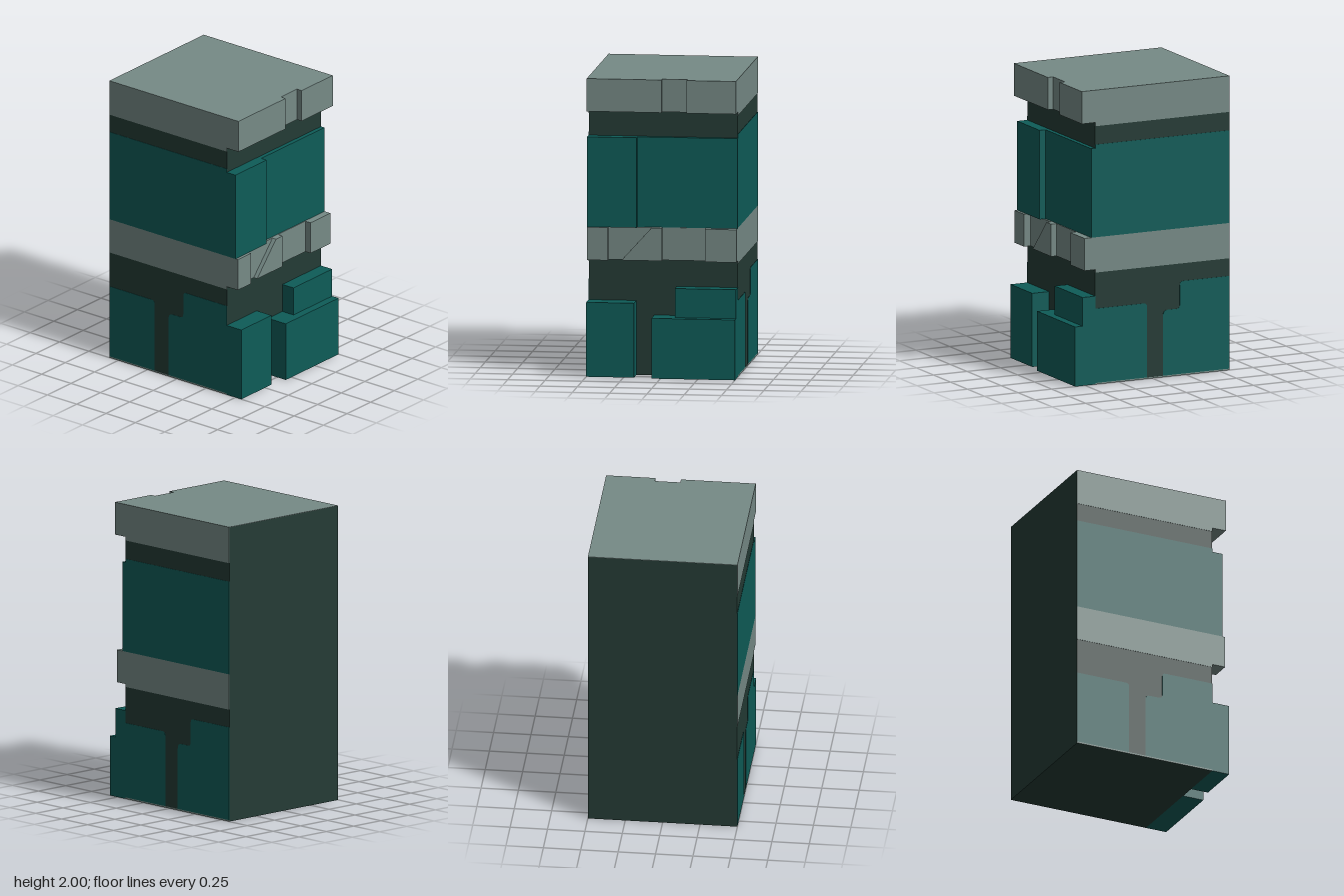
import * as THREE from 'three';

export function createModel() {
  const model = new THREE.Group();
  model.name = 'wallBlock';
  const mat = (name, color) => {
    const m = new THREE.MeshStandardMaterial({ color });
    m.name = name;
    return m;
  };
  const stone = mat('paleStone', 0x768a86);
  const teal = mat('tealStone', 0x0e5c58);
  const mortar = mat('darkMortar', 0x243b35);

  const add = (parent, name, geometry, material) => {
    const mesh = new THREE.Mesh(geometry, material);
    mesh.name = name;
    parent.add(mesh);
    return mesh;
  };
  // box from its minimum and maximum corners
  const box = (parent, name, material, x0, x1, y0, y1, z0, z1) =>
    add(parent, name, new THREE.BoxGeometry(x1 - x0, y1 - y0, z1 - z0), material)
      .position.set((x0 + x1) / 2, (y0 + y1) / 2, (z0 + z1) / 2);

  const L = -0.575, R = 0.425, T = 0.002;

  // mortar core and pale top
  box(model, 'core', mortar, L, R, 0, 1.997, -0.5 + T, 0.5 - T);
  box(model, 'topCap', stone, L, R, 1.997, 2, -0.5 + T, 0.5 - T);

  // flat plate from corner points [x, y, cornerRadius]
  const plate = (parent, name, material, points) => {
    const shape = new THREE.Shape();
    const n = points.length;
    points.forEach(([x, y, r = 0], i) => {
      const toward = ([px, py]) => {
        const d = Math.hypot(px - x, py - y);
        return [x + ((px - x) * r) / d, y + ((py - y) * r) / d];
      };
      const a = toward(points[(i + n - 1) % n]);
      if (i === 0) shape.moveTo(...a);
      else shape.lineTo(...a);
      if (r) shape.quadraticCurveTo(x, y, ...toward(points[(i + 1) % n]));
    });
    shape.closePath();
    add(parent, name, new THREE.ExtrudeGeometry(shape, { depth: T, bevelEnabled: false, curveSegments: 4 }), material);
  };
  const band = (y0, y1) => [[-0.5, y0], [0.5, y0], [0.5, y1], [-0.5, y1]];

  // flush stones: the back face is the front face turned half round
  for (const side of ['front', 'back']) {
    const face = new THREE.Group();
    face.name = side + 'Face';
    plate(face, 'topBand', stone, band(1.755, 2));
    plate(face, 'upperStone', teal, band(1, 1.63));
    plate(face, 'middleBand', stone, band(0.76, 1));
    plate(face, 'baseLine', stone, band(0, 0.01));
    plate(face, 'lowerSmallStone', teal,
      [[-0.5, 0.01], [-0.115, 0.01], [-0.115, 0.515, 0.025], [-0.5, 0.515]]);
    plate(face, 'lowerNotchedStone', teal,
      [[0.005, 0.01], [0.5, 0.01], [0.5, 0.64], [0.13, 0.64, 0.025],
        [0.13, 0.455, 0.025], [0.005, 0.455, 0.035]]);
    face.position.set((L + R) / 2, 0, side === 'front' ? 0.5 - T : -0.5 + T);
    if (side === 'back') face.rotation.y = Math.PI;
    model.add(face);
  }

  // raised stones on the +x side: name, material, outer x, y range, z range
  const raised = [
    ['topBandFront', stone, 0.525, 1.78, 2, 0, 0.5],
    ['topBandRecess', stone, 0.485, 1.78, 2, -0.17, 0],
    ['topBandRear', stone, 0.525, 1.78, 2, -0.5, -0.17],
    ['upperStoneFront', teal, 0.5, 1, 1.605, 0.17, 0.5],
    ['upperStoneRear', teal, 0.455, 1, 1.605, -0.5, 0.17],
    ['middleBandFront', stone, 0.52, 0.78, 1, 0.36, 0.5],
    ['middleBandInset', stone, 0.47, 0.78, 1, 0, 0.36],
    ['middleBandRecess', stone, 0.46, 0.78, 1, -0.29, 0],
    ['middleBandRear', stone, 0.505, 0.78, 1, -0.5, -0.29],
    ['lowerStoneFront', teal, 0.55, 0, 0.5, 0.18, 0.5],
    ['lowerStoneRear', teal, 0.575, 0, 0.405, -0.5, 0.06],
    ['lowerStoneStep', teal, 0.52, 0.405, 0.6, -0.5, -0.09],
  ];
  for (const [name, material, x, y0, y1, z0, z1] of raised) {
    box(model, name, material, R, x, y0, y1, z0, z1);
  }

  // slanted chip standing proud of the middle band
  const chip = new THREE.Shape();
  chip.moveTo(-0.27, 0.78);
  chip.lineTo(0, 0.78);
  chip.lineTo(0, 1);
  chip.lineTo(-0.07, 1);
  chip.closePath();
  const chipMesh = add(model, 'middleBandChip',
    new THREE.ExtrudeGeometry(chip, { depth: 0.03, bevelEnabled: false }), stone);
  chipMesh.rotation.y = Math.PI / 2;
  chipMesh.position.x = 0.47;

  return model;
}
